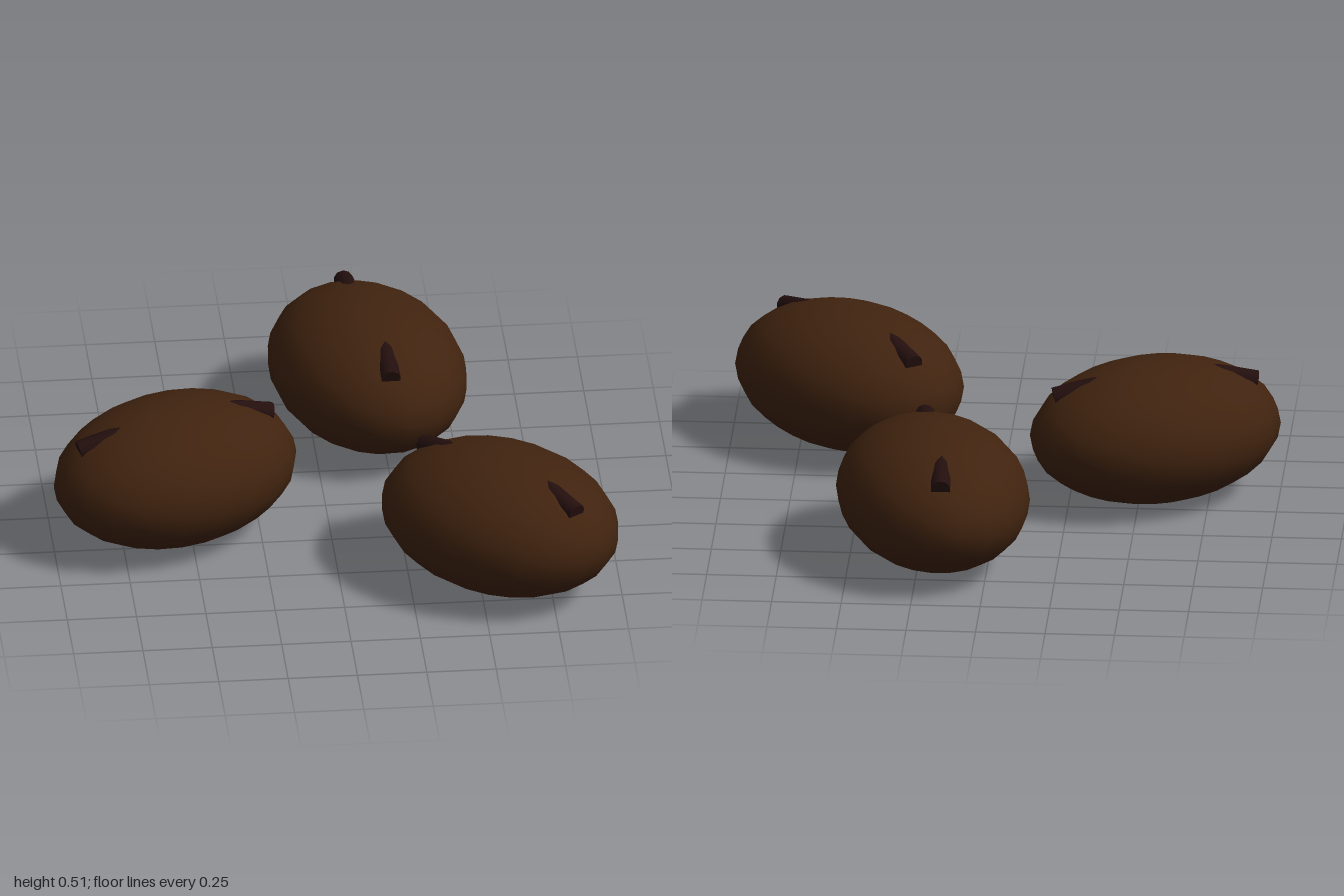
import * as THREE from 'three';

const shellBrown = new THREE.MeshStandardMaterial({ color: 0x40230f });
shellBrown.name = 'roastedBrown';
const creaseDark = new THREE.MeshStandardMaterial({ color: 0x230f0e });
creaseDark.name = 'darkCrease';

// Smooth, flattened oval body, long axis on local x
const bodyGeometry = new THREE.SphereGeometry(1, 20, 14).scale(0.465, 0.256, 0.342);

// S-shaped seam; only its ends emerge from the body
const seamCurve = new THREE.CatmullRomCurve3([
  [-0.37, 0.155, -0.052],
  [-0.22, 0.188, -0.016],
  [-0.1, 0.195, 0.02],
  [0, 0.195, 0],
  [0.1, 0.195, -0.02],
  [0.22, 0.188, 0.016],
  [0.37, 0.155, 0.052],
].map((p) => new THREE.Vector3(...p)));
const seamGeometry = new THREE.TubeGeometry(seamCurve, 32, 0.036, 10);

// Flat discs closing the two seam ends
function seamCap(t) {
  const cap = new THREE.Mesh(new THREE.CircleGeometry(0.036, 10), creaseDark);
  cap.name = 'seamEnd';
  const out = seamCurve.getTangentAt(t).multiplyScalar(t === 0 ? -1 : 1);
  cap.position.copy(seamCurve.getPointAt(t));
  cap.quaternion.setFromUnitVectors(new THREE.Vector3(0, 0, 1), out);
  return cap;
}

function createBean(x, z, degrees) {
  const bean = new THREE.Group();
  bean.name = 'bean';
  const body = new THREE.Mesh(bodyGeometry, shellBrown);
  body.name = 'beanBody';
  const seam = new THREE.Mesh(seamGeometry, creaseDark);
  seam.name = 'beanSeam';
  bean.add(body, seam, seamCap(0), seamCap(1));
  bean.position.set(x, 0.257, z);
  bean.rotation.y = THREE.MathUtils.degToRad(degrees);
  return bean;
}

export function createModel() {
  const model = new THREE.Group();
  model.name = 'beans';
  model.add(
    createBean(0.2, -0.54, -74),
    createBean(-0.555, 0.137, 25),
    createBean(0.575, 0.592, -40),
  );
  return model;
}
